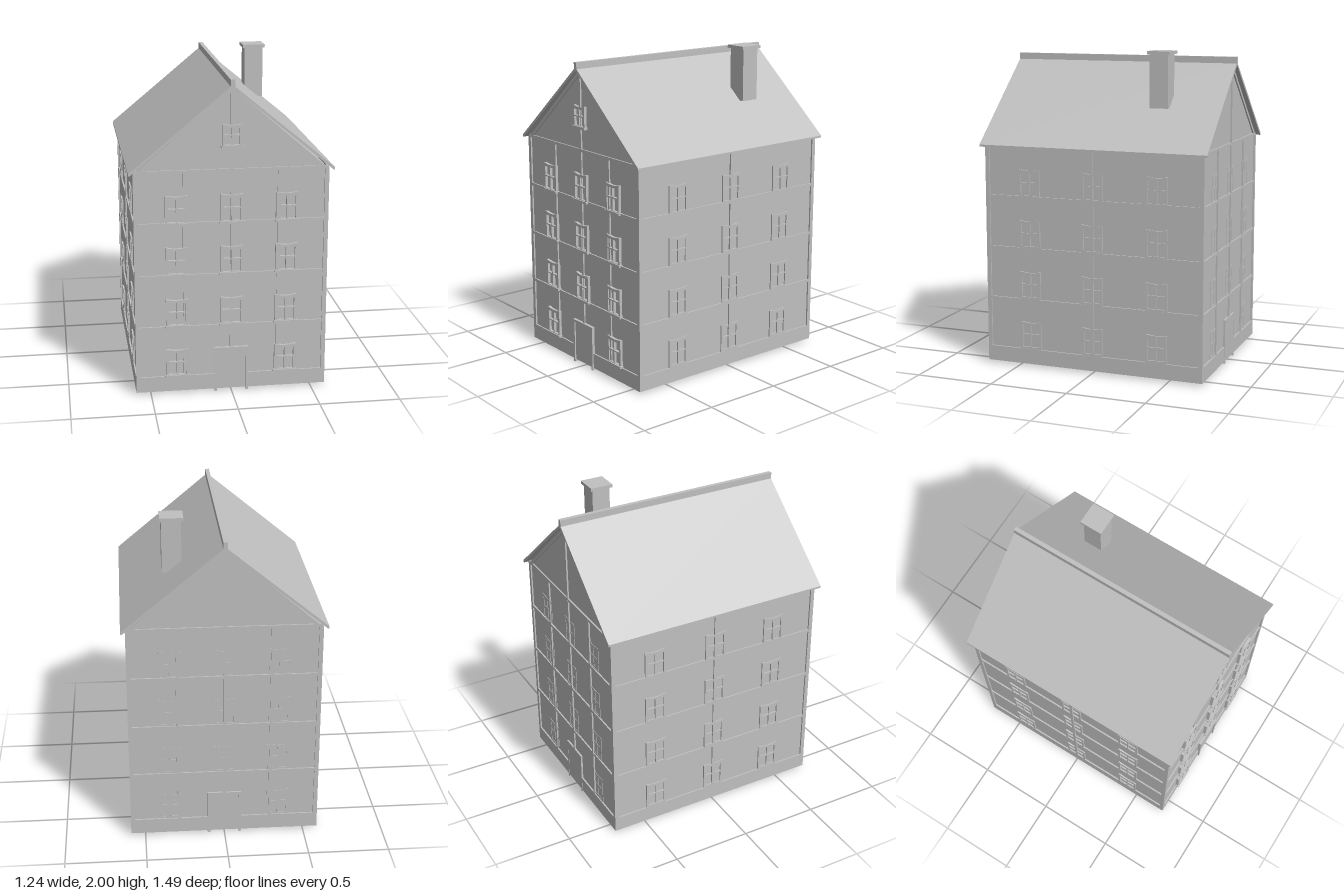
import * as THREE from 'three';

const W = 0.58, D = 0.708;            // half width and half depth of the plain walls
const EAVE = 1.405, APEX = 1.905;     // wall top and gable tip
const FLOORS = [0.112, 0.437, 0.765, 1.087];

export function createModel() {
  const model = new THREE.Group();
  model.name = 'house';
  const grey = new THREE.MeshStandardMaterial({ color: 0xc0c0c0 });
  grey.name = 'stone grey';

  const add = (parent, name, geo) => {
    const mesh = new THREE.Mesh(geo, grey);
    mesh.name = name;
    parent.add(mesh);
    return mesh;
  };
  // box given by its limits
  const box = (parent, name, x0, x1, y0, y1, z0, z1) => {
    const mesh = add(parent, name, new THREE.BoxGeometry(x1 - x0, y1 - y0, z1 - z0));
    mesh.position.set((x0 + x1) / 2, (y0 + y1) / 2, (z0 + z1) / 2);
    return mesh;
  };
  const extrude = (pts, depth) => new THREE.ExtrudeGeometry(
    new THREE.Shape(pts.map(p => new THREE.Vector2(...p))), { depth, bevelEnabled: false });
  const holePath = (x0, x1, y0, y1) => new THREE.Path(
    [[x0, y0], [x0, y1], [x1, y1], [x1, y0]].map(p => new THREE.Vector2(...p)));

  // walls with both gables, and the plinth
  const walls = add(model, 'walls', extrude(
    [[-W, 0.02], [W, 0.02], [W, EAVE], [0, APEX], [-W, EAVE]], 2 * D));
  walls.position.z = -D;
  box(model, 'plinth', -0.59, 0.59, 0.015, 0.112, -0.718, 0.718);

  // a window frame with four panes, a hollowed head and an optional sill
  const makeWindow = (w, h, depth, sill) => {
    const group = new THREE.Group();
    group.name = 'window';
    const a = w / 2, t = 0.014, m = 0.004, mid = h * 0.53;
    const s = new THREE.Shape();
    s.moveTo(-a, 0);
    s.lineTo(a, 0);
    s.lineTo(a, h);
    s.lineTo(a - 0.012, h);
    s.quadraticCurveTo(0, h - 0.014, -a + 0.012, h);
    s.lineTo(-a, h);
    for (const [x0, x1] of [[-a + t, -m], [m, a - t]]) {
      s.holes.push(holePath(x0, x1, t, mid - m), holePath(x0, x1, mid + m, h - t - 0.008));
    }
    add(group, 'windowFrame', new THREE.ExtrudeGeometry(
      s, { depth, bevelEnabled: false, curveSegments: 6 }));
    if (sill) box(group, 'windowSill', -a - 0.007, a + 0.007, -0.003, 0.011, 0, depth + 0.008);
    return group;
  };

  // one timbered facade, facing +z with the wall surface at z = 0
  const makeFacade = (half, posts, windows, win, out) => {
    const f = new THREE.Group();
    for (const s of [-1, 1]) {
      box(f, 'cornerPost', s > 0 ? half - 0.016 : -half - 0.01,
        s > 0 ? half + 0.01 : -half + 0.016, 0.11, 1.41, -0.01, 0.01);
    }
    for (const x of posts) box(f, 'post', x - 0.009, x + 0.009, 0.11, 1.41, -0.005, 0.01);
    for (const y of [0.43, 0.76, 1.088, 1.41]) {
      box(f, 'floorBeam', -half, half, y - 0.009, y + 0.009, -0.005, 0.0095);
    }
    FLOORS.forEach((y, i) => {
      for (const x of windows) {
        if (i === 0 && x === 0 && win.door) continue;
        const w = makeWindow(win.width, 0.178, out, win.sill);
        w.position.set(x, y, 0);
        f.add(w);
      }
    });
    return f;
  };

  // door with a raised surround whose legs reach the ground
  const addDoor = (f, out) => {
    const s = new THREE.Shape([[-0.105, 0], [-0.09, 0], [-0.09, 0.272], [0.09, 0.272],
      [0.09, 0], [0.105, 0], [0.105, 0.288], [-0.105, 0.288]].map(p => new THREE.Vector2(...p)));
    const frame = add(f, 'doorFrame', new THREE.ExtrudeGeometry(s, { depth: out + 0.01, bevelEnabled: false }));
    frame.position.z = -0.01;
    box(f, 'door', -0.09, 0.09, 0.02, 0.272, 0, 0.0105);
  };

  // gable timbers: king post and a rafter along each slope
  const addGable = f => {
    box(f, 'kingPost', -0.009, 0.009, EAVE, APEX - 0.02, -0.005, 0.01);
    for (const s of [-1, 1]) {
      const pts = [[s * W, EAVE], [0, APEX], [0, APEX - 0.028], [s * (W - 0.033), EAVE]];
      const rafter = add(f, 'gableRafter', extrude(pts, 0.014));
      rafter.position.z = -0.005;
    }
  };

  // front and back
  const columns = [-0.335, 0, 0.335], posts = [-0.287, 0, 0.287];
  const front = makeFacade(W, posts, columns, { width: 0.134, sill: true, door: true }, 0.018);
  front.name = 'frontFacade';
  front.position.z = D;
  addDoor(front, 0.019);
  addGable(front);
  const gableWindow = makeWindow(0.12, 0.138, 0.018, true);
  gableWindow.position.y = 1.55;
  front.add(gableWindow);

  const back = makeFacade(W, posts, columns, { width: 0.134, door: true }, 0.003);
  back.name = 'backFacade';
  back.position.z = -D;
  back.rotation.y = Math.PI;
  addDoor(back, 0.012);
  addGable(back);
  model.add(front, back);

  // the two long sides
  for (const s of [-1, 1]) {
    const side = makeFacade(D, [0], [-0.42, 0, 0.42], { width: 0.14 }, 0.009);
    side.name = s > 0 ? 'leftFacade' : 'rightFacade';
    side.position.x = s * W;
    side.rotation.y = s * Math.PI / 2;
    model.add(side);
  }

  // roof slabs and ridge
  const roof = add(model, 'roof', extrude([[0, 1.925], [-0.618, 1.413], [-0.618, 1.4],
    [-0.608, 1.4], [0, 1.905], [0.608, 1.4], [0.618, 1.4], [0.618, 1.413]], 1.486));
  roof.position.z = -0.743;
  box(model, 'ridge', -0.013, 0.013, 1.9, 1.955, -0.744, 0.744);

  // chimney
  box(model, 'chimney', 0.237, 0.357, 1.652, 1.985, -0.41, -0.292);
  box(model, 'chimneyCap', 0.223, 0.369, 1.98, 2, -0.424, -0.278);

  return model;
}
